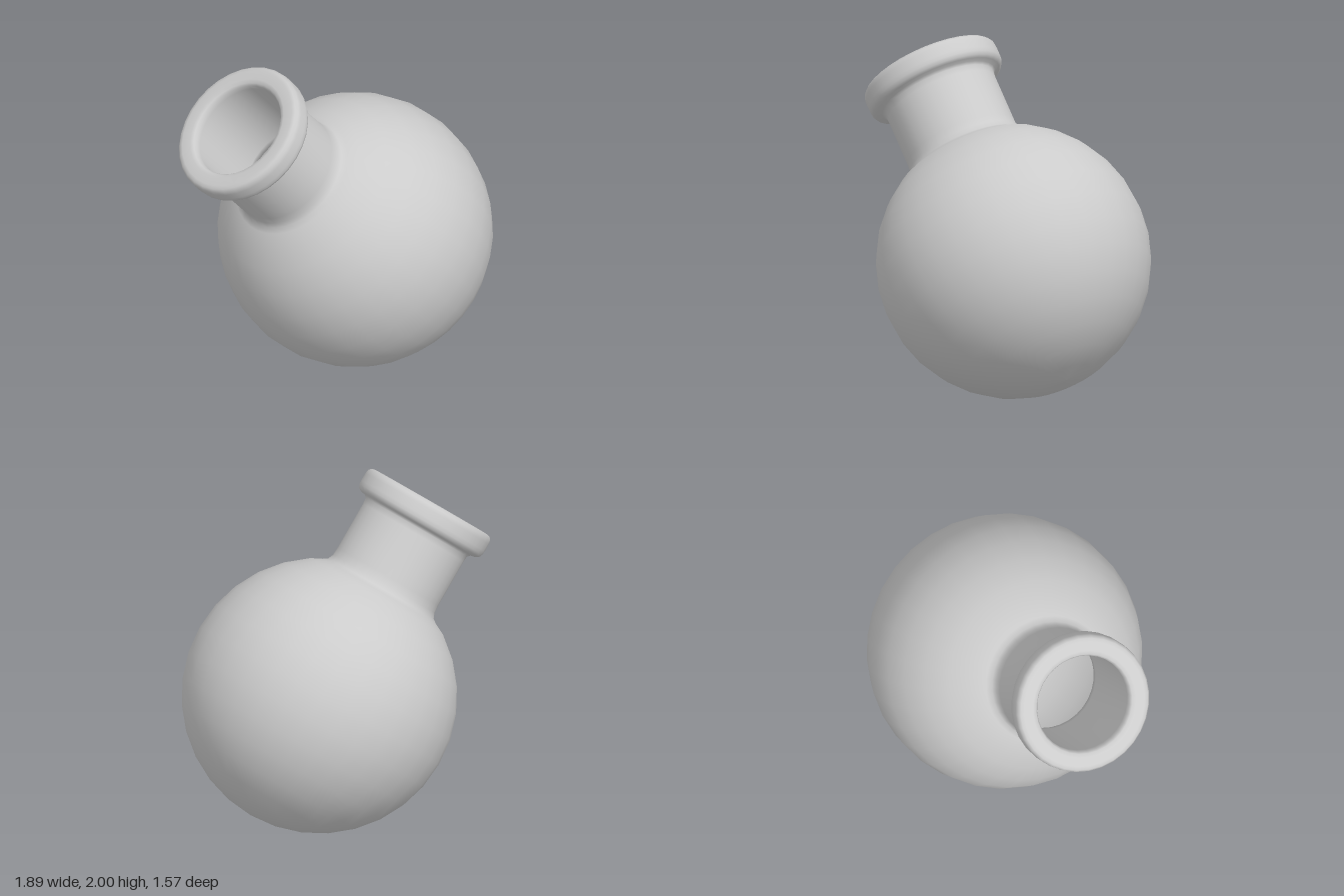
import * as THREE from 'three';

const R = 0.785;        // outer bulb radius
const INNER = 0.735;    // hollow radius
const TILT = THREE.MathUtils.degToRad(40);

// points on a circle of radius r; step 0 is the bottom pole, 16 the top pole
function arc(r, from, to) {
  const pts = [];
  const dir = Math.sign(to - from);
  for (let i = from; i !== to + dir; i += dir) {
    const a = (i * Math.PI) / 16;
    pts.push(new THREE.Vector2(r * Math.sin(a), -r * Math.cos(a)));
  }
  return pts;
}

const points = (list) => list.map(([x, y]) => new THREE.Vector2(x, y));

function part(name, profile) {
  const material = new THREE.MeshStandardMaterial({ color: 0xcccccc, side: THREE.DoubleSide });
  const mesh = new THREE.Mesh(new THREE.LatheGeometry(profile, 32), material);
  mesh.name = name;
  return mesh;
}

export function createModel() {
  const model = new THREE.Group();
  model.name = 'roundFlask';

  // one hollow shell: bulb, neck fillet, neck, rolled rim, bore, inner bulb
  const profile = [
    ...arc(R, 0, 13),
    ...points([
      // fillet into the neck
      [0.375, 0.683], [0.346, 0.703], [0.333, 0.735],
      // neck and fillet under the rim
      [0.33, 0.78], [0.33, 1.07], [0.333, 1.105], [0.347, 1.12],
      // rounded rim
      [0.375, 1.126], [0.394, 1.137], [0.403, 1.157], [0.405, 1.18],
      [0.405, 1.228], [0.401, 1.252], [0.388, 1.267], [0.367, 1.272],
      [0.315, 1.272], [0.293, 1.266], [0.282, 1.25],
      // bore
      [0.28, 1.22], [0.28, 0.72], [0.283, 0.68],
    ]),
    ...arc(INNER, 13, 0),
  ];
  const flask = part('flaskShell', profile);
  flask.rotation.z = TILT;
  flask.position.set(0.165, R, 0);
  model.add(flask);
  return model;
}
